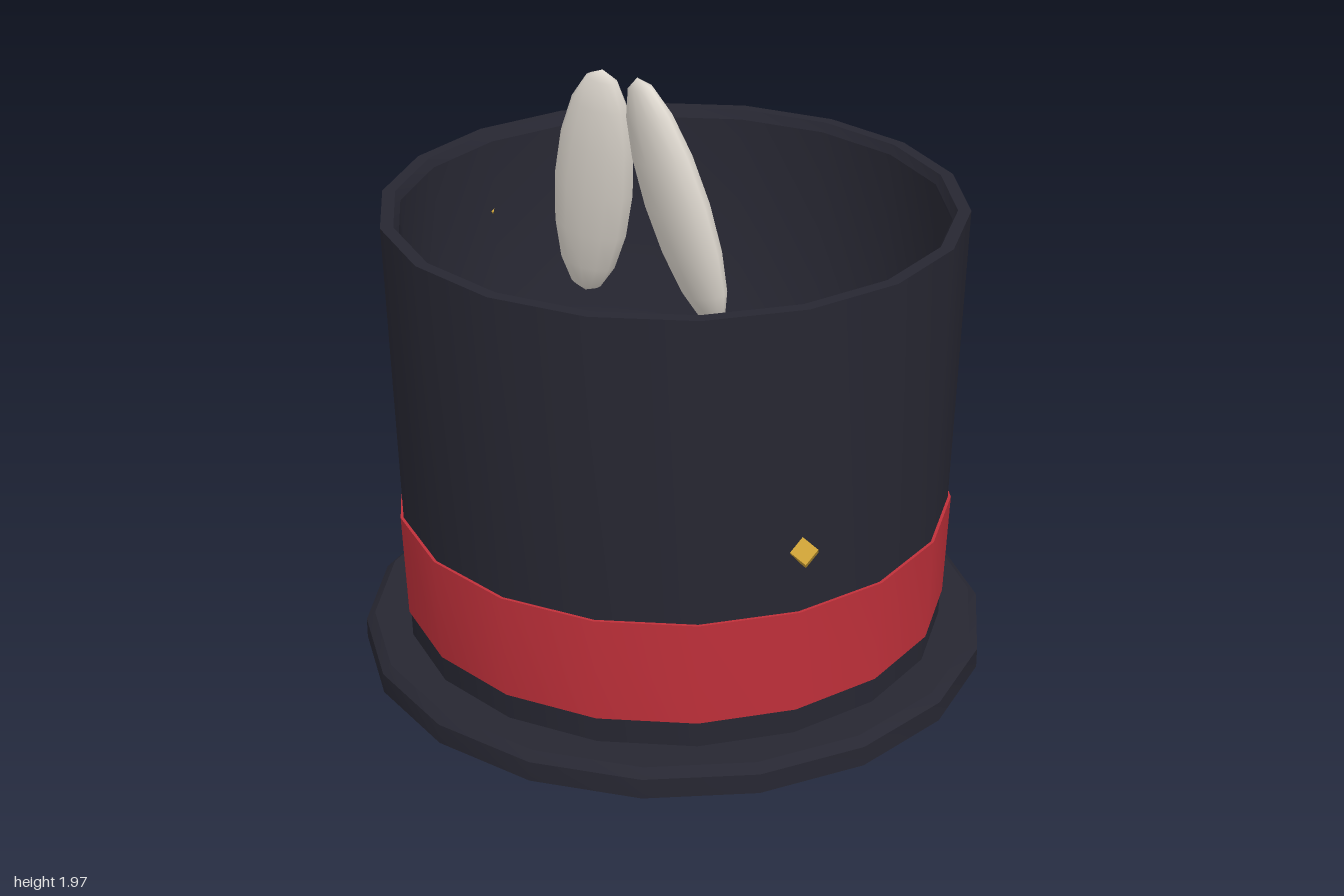
import * as THREE from 'three';
import { toCreasedNormals } from 'three/addons/utils/BufferGeometryUtils.js';

const SIDES = 18;

const material = (name, color) => {
  const m = new THREE.MeshStandardMaterial({ color });
  m.name = name;
  return m;
};

// Turned part from [radius, y] pairs; phi sets where the first corner lies
function turned(profile, phi, crease) {
  const geo = new THREE.LatheGeometry(profile.map(p => new THREE.Vector2(p[0], p[1])), SIDES, phi);
  return crease ? toCreasedNormals(geo, 0.6) : geo;
}

export function createModel() {
  const felt = material('dark felt', 0x272732);
  const red = material('red ribbon', 0xc0303a);
  const gold = material('gold', 0xcda236);
  const fur = material('pale fur', 0xe0dad1);
  const group = new THREE.Group();
  group.name = 'hat';

  const add = (name, geo, mat, parent = group) => {
    const mesh = new THREE.Mesh(geo, mat);
    mesh.name = name;
    parent.add(mesh);
    return mesh;
  };

  // Brim with a bevelled upper edge
  add('brim', turned([[0, 0], [1, 0], [1, 0.065], [0.972, 0.09], [0, 0.09]], 0, true), felt);

  // Crown: tapered wall with a thin rim, then a smooth hollow inside
  add('crownWall', turned([[0.86, 0.08], [0.9, 1.49], [0.86, 1.49], [0.845, 1.46]], Math.PI / 2, true), felt);
  add('crownInside', turned([[0.845, 1.46], [0.81, 0.13], [0, 0.13]], Math.PI / 2, false), felt);

  // Ribbon band
  add('band', turned([[0.85, 0.175], [0.869, 0.175], [0.882, 0.515], [0.86, 0.515]], Math.PI / 2, true), red);

  // Bevelled buckle on the model's left side
  const plate = new THREE.Shape();
  const w = 0.09, h = 0.12;
  plate.moveTo(-w, -h).lineTo(w, -h).lineTo(w, h).lineTo(-w, h).closePath();
  const buckleGeo = new THREE.ExtrudeGeometry(plate, {
    depth: 0.025, bevelEnabled: true, bevelThickness: 0.02, bevelSize: 0.024, bevelSegments: 1,
  });
  buckleGeo.translate(0, 0, -0.0125);
  const buckle = add('buckle', buckleGeo, gold);
  buckle.position.set(0.864, 0.347, 0);
  buckle.rotation.y = Math.PI / 2;

  // Small tilted studs set in the crown wall
  const studs = [
    [-0.435, 0.715, 0.77, 0.5, 0.1, 0.75],
    [0.73, 1.01, -0.505, 0.5, 0.3, 0.5],
    [0.145, 1.22, -0.868, 0.3, 0.6, 0.4],
  ];
  const studGeo = new THREE.BoxGeometry(0.058, 0.058, 0.058);
  for (const [x, y, z, rx, ry, rz] of studs) {
    const stud = add('stud', studGeo, gold);
    stud.position.set(x, y, z);
    stud.rotation.set(rx, ry, rz);
  }

  // Pair of leaning ears, mirrored front to back
  for (const side of [1, -1]) {
    const tip = new THREE.Vector3(-0.27, 1.97, 0.062 * side);
    const root = new THREE.Vector3(-0.13, 1.18, 0.245 * side);
    const axis = tip.clone().sub(root);
    const up = axis.clone().normalize();
    const thin = new THREE.Vector3(1, 0, 0.25 * side);
    thin.addScaledVector(up, -thin.dot(up)).normalize();
    const wide = new THREE.Vector3().crossVectors(thin, up);
    const ear = add(side > 0 ? 'frontEar' : 'rearEar', new THREE.SphereGeometry(1, 12, 8), fur);
    ear.position.addVectors(tip, root).multiplyScalar(0.5);
    ear.quaternion.setFromRotationMatrix(new THREE.Matrix4().makeBasis(thin, up, wide));
    ear.scale.set(0.068, axis.length() / 2, 0.128);
  }

  return group;
}
